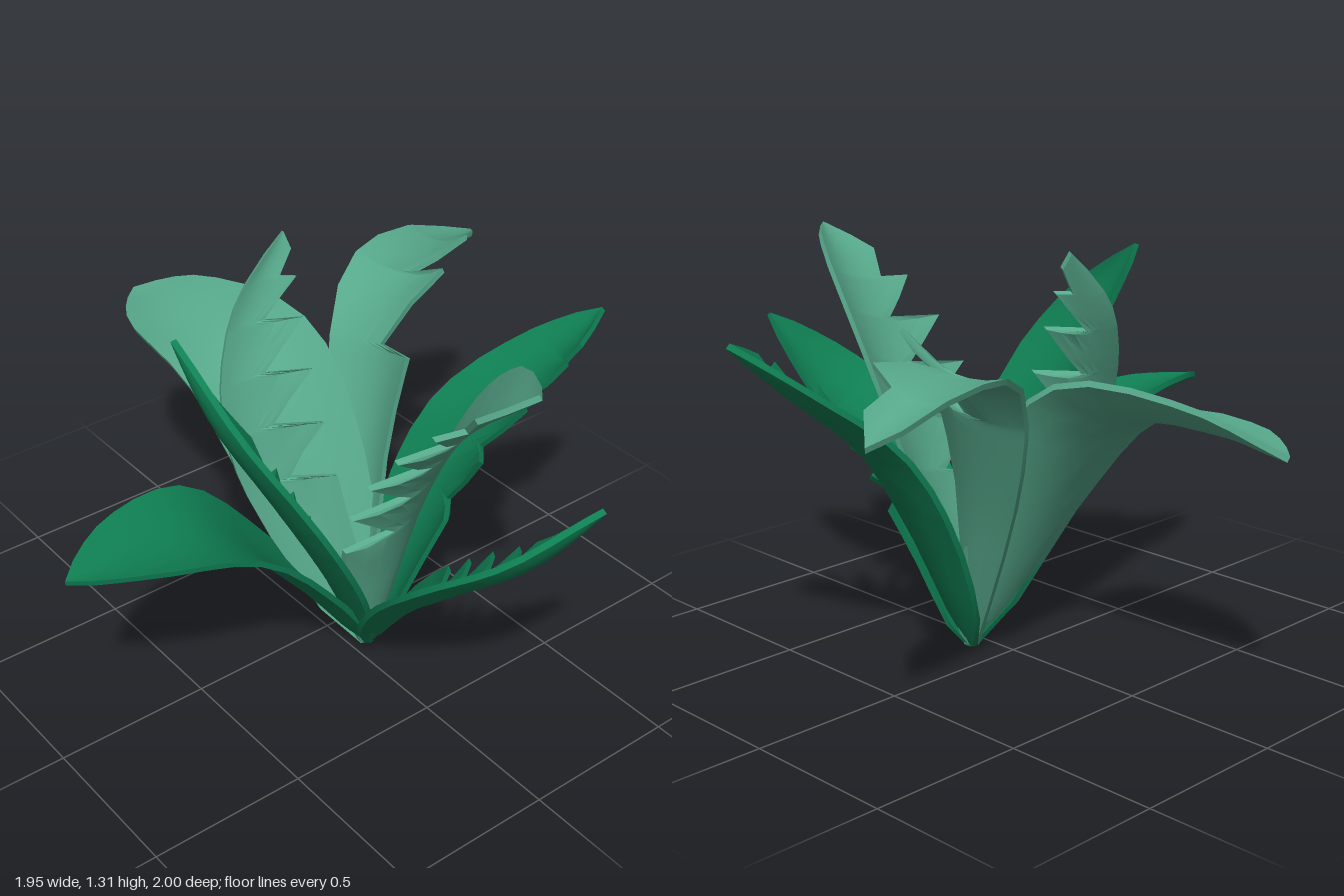
import * as THREE from 'three';
import { toCreasedNormals } from 'three/addons/utils/BufferGeometryUtils.js';

const LIGHT = new THREE.MeshStandardMaterial({ color: 0x57a98c });
const DARK = new THREE.MeshStandardMaterial({ color: 0x0f7f53 });
const BASE = new THREE.Vector3(0.06, 0, 0.13);
const THICK = 0.018, COLS = 6, ROWS = 14;

// Leaf outline: narrow stalk, full middle, tapering tip; a higher peak moves the belly up
const widthAt = (t, peak) =>
  Math.max(Math.sin(Math.PI * Math.pow(t, peak)), 0) ** 0.8 + 0.12 * (1 - t) ** 4;

// Rows along the leaf: [position, width fraction]. Each tooth widens slowly, then cuts back in.
function leafRows(count, from, to, depth) {
  const step = (to - from) / count;
  const rows = [];
  for (let i = 0; i <= ROWS; i++) {
    const t = i / ROWS;
    if (count === 0 || t < from - 0.02 || t > to + 0.05) rows.push([t, 1]);
  }
  for (let k = 0; k < count; k++) {
    const t = from + k * step;
    rows.push([t, 1], [t + 0.012, 1 - depth], [t + step / 2, 1 - depth * 0.55]);
  }
  if (count > 0) rows.push([to, 1], [to + 0.012, 1 - depth * 0.6]);
  return rows.sort((p, q) => p[0] - q[0]);
}

// A cupped, thick blade along a spine; `across` runs from the smooth edge to the toothed one.
function leaf(name, material, spinePoints, across,
  { teeth = 0, from = 0.3, to = 0.82, depth = 0.4, peak = 0.8, cup = 0.14 } = {}) {
  const spine = new THREE.CatmullRomCurve3(
    [BASE, ...spinePoints.map(p => new THREE.Vector3(...p))]);
  const span = new THREE.Vector3(...across);
  const normalAt = t => {
    const s = THREE.MathUtils.clamp(t, 0.03, 0.97);
    const along = spine.getPoint(s + 0.03).sub(spine.getPoint(s - 0.03));
    return span.clone().cross(along).normalize();
  };
  // The underside points away from the middle of the plant
  const away = spine.getPoint(0.35).sub(BASE).setY(-0.2);
  const sign = Math.sign(normalAt(0.35).dot(away));

  const rows = leafRows(teeth, from, to, depth), pos = [], index = [];
  const w = COLS + 1, layer = rows.length * w;
  for (const side of [1, -1]) {
    for (const [t, frac] of rows) {
      const width = widthAt(t, peak), n = normalAt(t).multiplyScalar(sign);
      for (let j = 0; j < w; j++) {
        const u = frac * j / COLS;
        const bulge = cup * width * span.length() * (4 * u * (1 - u) - 0.5);
        const p = spine.getPoint(t)
          .addScaledVector(span, (u - 0.5) * width)
          .addScaledVector(n, bulge + side * THICK / 2);
        pos.push(p.x, Math.max(p.y, 0), p.z);
      }
    }
  }
  const quad = (p, q, r, s) => {
    if (sign > 0) index.push(p, q, r, p, r, s);
    else index.push(p, r, q, p, s, r);
  };
  // Both faces and the rims along the two edges
  for (let i = 0; i < rows.length - 1; i++) {
    const r = i * w, e = r + COLS;
    for (let j = r; j < e; j++) {
      quad(j, j + 1, j + w + 1, j + w);
      quad(layer + j, layer + j + w, layer + j + w + 1, layer + j + 1);
    }
    quad(r, r + w, layer + r + w, layer + r);
    quad(e, layer + e, layer + e + w, e + w);
  }
  // Rims at the stalk and the tip
  const end = layer - w;
  for (let j = 0; j < COLS; j++) {
    quad(j, layer + j, layer + j + 1, j + 1);
    quad(end + j, end + j + 1, layer + end + j + 1, layer + end + j);
  }
  const g = new THREE.BufferGeometry();
  g.setAttribute('position', new THREE.Float32BufferAttribute(pos, 3));
  g.setIndex(index);
  const mesh = new THREE.Mesh(toCreasedNormals(g, 0.6), material);
  mesh.name = name;
  return mesh;
}

export function createModel() {
  const plant = new THREE.Group();
  plant.name = 'leafyPlant';
  // Pale leaves
  plant.add(
    leaf('backLeaf', LIGHT,
      [[0.01, 0.58, -0.14], [-0.015, 0.85, -0.38], [-0.05, 0.875, -0.77], [-0.04, 0.83, -1]],
      [-0.4, -0.15, -0.07]),
    leaf('backUprightLeaf', LIGHT,
      [[-0.08, 0.5, -0.04], [-0.12, 0.84, -0.14], [-0.05, 1.12, -0.24], [0.05, 1.31, -0.28]],
      [0.29, 0.02, 0.09], { teeth: 4, depth: 0.48, peak: 0.85 }),
    leaf('backLeftLeaf', LIGHT,
      [[0.23, 0.65, -0.1], [0.4, 1.01, -0.2], [0.64, 1.06, -0.31], [0.97, 0.95, -0.45]],
      [0.04, 0.09, 0.38], { teeth: 2, from: 0.38, to: 0.82, depth: 0.48, peak: 1.2 }),
    leaf('frontUprightLeaf', LIGHT,
      [[0.06, 0.51, 0.24], [0.065, 0.87, 0.4], [0.06, 1.13, 0.62], [0.06, 1.27, 0.82]],
      [-0.44, -0.1, 0.04], { teeth: 4, from: 0.27, to: 0.74, peak: 1 }));
  // Deep green leaves
  plant.add(
    leaf('frontLeaf', DARK,
      [[0, 0.34, 0.38], [-0.015, 0.57, 0.615], [0.045, 0.77, 0.85], [0.16, 0.96, 0.99]],
      [0.34, -0.11, -0.12], { teeth: 3, from: 0.36, to: 0.65, depth: 0.33 }),
    leaf('leftLeaf', DARK,
      [[0.23, 0.43, 0.165], [0.4, 0.72, 0.205], [0.63, 0.92, 0.28], [0.8, 1.06, 0.34]],
      [-0.13, 0.03, 0.38], { teeth: 3, from: 0.32, to: 0.78, depth: 0.34, cup: 0.18 }),
    leaf('rightLeaf', DARK,
      [[-0.22, 0.4, 0.11], [-0.49, 0.67, 0.105], [-0.77, 0.72, 0.095], [-0.98, 0.71, 0.09]],
      [0.03, -0.07, 0.38], { cup: 0.12 }),
    leaf('rightUprightLeaf', DARK,
      [[-0.14, 0.43, 0.2], [-0.32, 0.77, 0.19], [-0.46, 1.04, 0.1], [-0.5, 1.24, -0.05]],
      [0.11, -0.02, -0.37], { teeth: 3, from: 0.22, to: 0.46, depth: 0.34 }));
  return plant;
}
